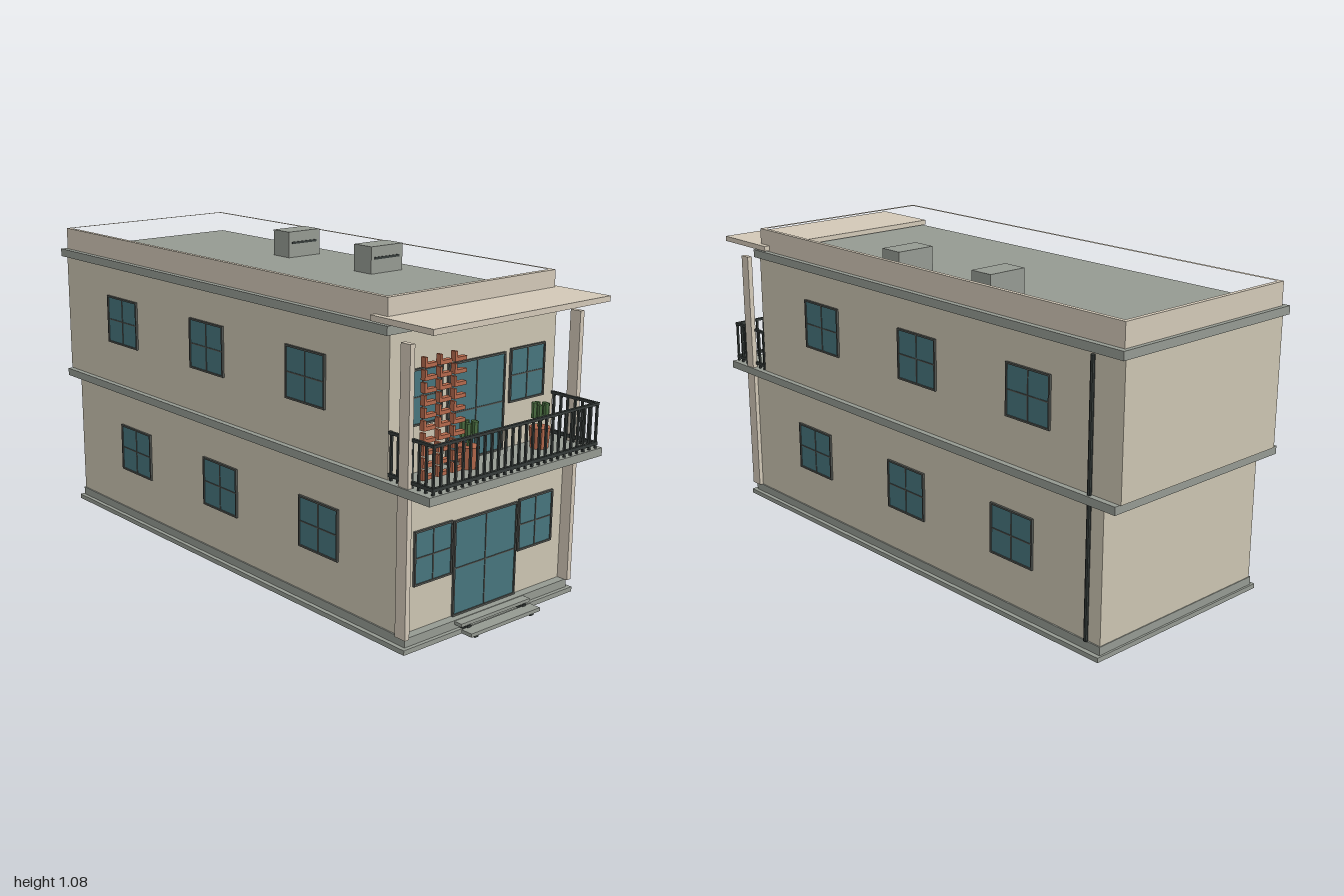
import * as THREE from 'three';

const mat = (color) => new THREE.MeshStandardMaterial({ color, flatShading: true });
const WALL = mat(0xcbc4b1), TRIM = mat(0xd2c8b7), STONE = mat(0x959a92), GLASS = mat(0x46747d);
const FRAME = mat(0x50534f), METAL = mat(0x353b39), CLAY = mat(0xb5694c), LEAF = mat(0x4c7042);

// Box given by its min and max on each axis
function box(parent, name, material, x0, x1, y0, y1, z0, z1) {
  const m = new THREE.Mesh(new THREE.BoxGeometry(x1 - x0, y1 - y0, z1 - z0), material);
  m.position.set((x0 + x1) / 2, (y0 + y1) / 2, (z0 + z1) / 2);
  m.name = name;
  parent.add(m);
  return m;
}

function cylinder(parent, name, material, rTop, rBottom, y0, y1, x, z, sides = 8) {
  const m = new THREE.Mesh(new THREE.CylinderGeometry(rTop, rBottom, y1 - y0, sides), material);
  m.position.set(x, (y0 + y1) / 2, z);
  m.name = name;
  parent.add(m);
  return m;
}

// Glazed opening facing +z, centred on its own origin
function glazing(name, w, h) {
  const g = new THREE.Group(), t = 0.006, a = w / 2, b = h / 2;
  g.name = name;
  box(g, 'glass', GLASS, -a + t, a - t, -b + t, b - t, -0.004, 0.003);
  for (const s of [-1, 1]) {
    box(g, 'jamb', FRAME, s * (a - t / 2) - t / 2, s * (a - t / 2) + t / 2, -b, b, -0.004, 0.007);
    box(g, 'rail', FRAME, -a, a, s * (b - t / 2) - t / 2, s * (b - t / 2) + t / 2, -0.004, 0.007);
  }
  box(g, 'mullion', FRAME, -0.002, 0.002, -b, b, 0, 0.005);
  box(g, 'transom', FRAME, -a, a, -0.002, 0.002, 0, 0.005);
  return g;
}

function buildShell(root) {
  box(root, 'lowerPlinth', STONE, -0.38, 0.38, 0, 0.016, -0.935, 0.908);
  box(root, 'upperPlinth', STONE, -0.365, 0.365, 0.016, 0.044, -0.928, 0.895);
  box(root, 'groundFloor', WALL, -0.36, 0.36, 0.044, 0.49, -0.925, 0.865);
  box(root, 'floorSlab', STONE, -0.38, 0.38, 0.49, 0.517, -0.985, 1);
  box(root, 'upperFloor', WALL, -0.36, 0.36, 0.517, 0.955, -0.99, 0.806);
  box(root, 'cornice', STONE, -0.38, 0.38, 0.953, 0.981, -1, 0.815);
  box(root, 'canopy', TRIM, -0.38, 0.38, 0.985, 1.003, 0.742, 1);

  // Corner columns on both floors
  for (const s of [-1, 1]) {
    const x = s * 0.366;
    box(root, 'lowerColumn', TRIM, x - 0.009, x + 0.009, 0.044, 0.49, 0.862, 0.906);
    box(root, 'upperColumn', TRIM, x - 0.009, x + 0.009, 0.517, 0.943, 0.866, 0.906);
  }

  // Hollow roof parapet
  const outline = new THREE.Shape([[-0.36, -0.985], [0.36, -0.985], [0.36, 0.795], [-0.36, 0.795]]
    .map(([x, z]) => new THREE.Vector2(x, -z)));
  outline.holes.push(new THREE.Path([[-0.345, -0.97], [0.345, -0.97], [0.345, 0.777], [-0.345, 0.777]]
    .map(([x, z]) => new THREE.Vector2(x, -z))));
  const parapet = new THREE.Mesh(
    new THREE.ExtrudeGeometry(outline, { depth: 0.08, bevelEnabled: false }), TRIM);
  parapet.rotation.x = -Math.PI / 2;
  parapet.position.y = 0.979;
  parapet.name = 'parapet';
  root.add(parapet);

  // Roof vents with a slot at the front
  for (const z of [-0.325, 0.12]) {
    box(root, 'roofVent', STONE, 0.15, 0.295, 0.98, 1.075, z - 0.044, z + 0.044);
    box(root, 'ventSlot', METAL, 0.165, 0.28, 1.03, 1.038, z + 0.04, z + 0.047);
  }

  // Rainwater pipe
  cylinder(root, 'downpipe', METAL, 0.007, 0.007, 0.044, 0.943, 0.367, -0.872);
}

function buildOpenings(root) {
  const place = (name, w, h, x, y, z, turn = 0) => {
    const g = glazing(name, w, h);
    g.position.set(x, y, z);
    g.rotation.y = turn;
    root.add(g);
  };
  place('frontDoor', 0.28, 0.312, 0, 0.2, 0.866);
  place('balconyDoor', 0.25, 0.315, 0, 0.674, 0.807);
  for (const s of [-1, 1]) {
    place('lowerFrontWindow', 0.16, 0.174, s * 0.228, 0.274, 0.866);
    place('upperFrontWindow', 0.16, 0.174, s * 0.228, 0.75, 0.807);
    for (let i = 0; i < 3; i++) {
      place('lowerSideWindow', 0.19, 0.172, s * 0.361, 0.28, 0.495 - i * 0.518, s * Math.PI / 2);
      place('upperSideWindow', 0.19, 0.174, s * 0.361, 0.757, 0.43 - i * 0.519, s * Math.PI / 2);
    }
  }
}

function buildSteps(root) {
  const g = new THREE.Group();
  g.name = 'entranceSteps';
  box(g, 'upperTread', STONE, -0.155, 0.155, 0.031, 0.042, 0.88, 0.925);
  box(g, 'lowerTread', STONE, -0.155, 0.155, 0.013, 0.025, 0.925, 0.968);
  for (const x of [-0.125, 0.125]) {
    box(g, 'lowerStringer', METAL, x - 0.008, x + 0.008, 0.004, 0.014, 0.9, 0.962);
    box(g, 'upperStringer', METAL, x - 0.008, x + 0.008, 0.013, 0.032, 0.895, 0.93);
  }
  root.add(g);
}

function buildRailing(root) {
  const g = new THREE.Group(), X = 0.357, Z = 0.99;
  g.name = 'balconyRailing';
  for (const [y0, y1] of [[0.658, 0.667], [0.528, 0.539]]) {
    box(g, 'frontRail', METAL, -X - 0.005, X + 0.005, y0, y1, Z - 0.005, Z + 0.005);
    for (const s of [-1, 1])
      box(g, 'sideRail', METAL, s * X - 0.005, s * X + 0.005, y0, y1, 0.806, Z);
  }
  for (let i = 0; i <= 24; i++) {
    const x = -X + i * 2 * X / 24;
    box(g, 'frontBar', METAL, x - 0.0035, x + 0.0035, 0.517, 0.66, Z - 0.0035, Z + 0.0035);
  }
  for (const s of [-1, 1]) for (let i = 1; i <= 6; i++) {
    const z = Z - i * 0.029;
    box(g, 'sideBar', METAL, s * X - 0.0035, s * X + 0.0035, 0.517, 0.66, z - 0.0035, z + 0.0035);
  }
  root.add(g);
}

function buildPlants(root) {
  for (const x of [-0.09, 0.23]) {
    const g = new THREE.Group(), z = 0.87;
    g.name = 'pottedPlant';
    cylinder(g, 'pot', CLAY, 0.034, 0.029, 0.517, 0.585, x, z, 10);
    cylinder(g, 'stem', LEAF, 0.006, 0.008, 0.58, 0.625, x, z, 6);
    // Cluster of upright fleshy stalks
    for (let i = 0; i < 5; i++) {
      const a = i * Math.PI * 2 / 5, dx = Math.cos(a) * 0.02, dz = Math.sin(a) * 0.02;
      cylinder(g, 'stalk', LEAF, 0.01, 0.009, 0.614, 0.66 + (i % 2) * 0.004, x + dx, z + dz, 6);
      const arm = cylinder(g, 'arm', LEAF, 0.004, 0.005, 0.6, 0.63, x + dx / 2, z + dz / 2, 5);
      arm.rotation.set(Math.sin(a) * 0.6, 0, -Math.cos(a) * 0.6);
    }
    root.add(g);
  }
}

// Screen of stacked L-shaped clay pieces
function buildScreen(root) {
  const g = new THREE.Group();
  g.name = 'clayScreen';
  for (let c = 0; c < 3; c++) for (let r = 0; r < 10; r++) {
    const x = -0.327 + c * 0.06, y = 0.87 - r * 0.0372;
    box(g, 'crossPiece', CLAY, x, x + 0.048, y, y + 0.012, 0.9, 0.918);
    box(g, 'upright', CLAY, x, x + 0.009, y, y + 0.031, 0.9, 0.918);
  }
  root.add(g);
}

export function createModel() {
  const root = new THREE.Group();
  root.name = 'house';
  buildShell(root);
  buildOpenings(root);
  buildSteps(root);
  buildRailing(root);
  buildPlants(root);
  buildScreen(root);
  return root;
}
